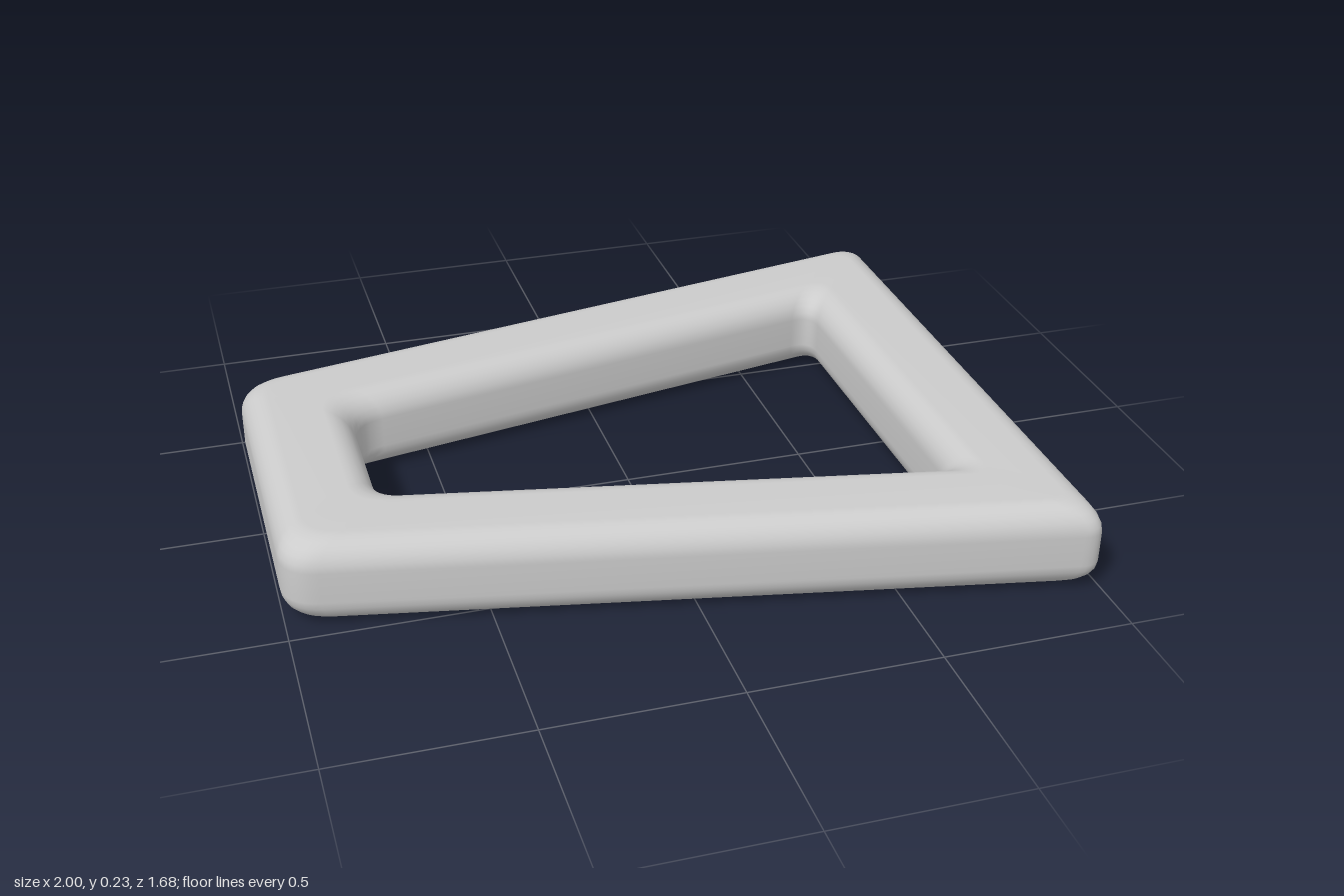
import * as THREE from 'three';

const SLOPE = 0.197;   // taper of the two slanted bars
const HALF = 0.14;     // half the bar width
const HEIGHT = 0.235;
const BEVEL = 0.075;

// Rounded-rectangle bar section as [offset from the centre line, y], counter-clockwise
function barSection(steps = 6) {
  const points = [];
  const o = HALF - BEVEL, top = HEIGHT - BEVEL;
  [[o, top], [-o, top], [-o, BEVEL], [o, BEVEL]].forEach(([cx, cy], k) => {
    for (let s = 0; s <= steps; s++) {
      const a = (k + s / steps) * Math.PI / 2;
      points.push([cx + BEVEL * Math.cos(a), cy + BEVEL * Math.sin(a)]);
    }
  });
  return points;
}

// Trapezoid loop at a given offset from the centre line, corners rounded
function trapezoidLoop(offset, steps = 8) {
  const a = 0.86 + offset, m = 0.51 + offset * 1.02;
  const corners = [[1, 1], [-1, 1], [-1, -1], [1, -1]].map(
    ([sx, sz]) => new THREE.Vector2(sx * a, sz * (m + SLOPE * sx * a)));
  const points = [];
  corners.forEach((c, k) => {
    const reach = c.x > 0 ? 0.065 : 0.09;
    const toward = (p) => p.clone().sub(c).setLength(reach).add(c);
    const curve = new THREE.QuadraticBezierCurve(
      toward(corners[(k + 3) % 4]), c, toward(corners[(k + 1) % 4]));
    points.push(...curve.getPoints(steps));
  });
  return points;
}

// Sweep the bar section round the trapezoid as one closed smooth ring
function frameGeometry() {
  const loops = barSection().map(([offset, y]) =>
    trapezoidLoop(offset).map((p) => [p.x, y, p.y]));
  const rows = loops.length, cols = loops[0].length;
  const index = [];
  for (let j = 0; j < rows; j++) {
    for (let i = 0; i < cols; i++) {
      const j2 = (j + 1) % rows, i2 = (i + 1) % cols;
      const a = j * cols + i, b = j2 * cols + i, c = j2 * cols + i2, d = j * cols + i2;
      index.push(a, b, d, b, c, d);
    }
  }
  const geometry = new THREE.BufferGeometry();
  geometry.setAttribute('position', new THREE.Float32BufferAttribute(loops.flat(2), 3));
  geometry.setIndex(index);
  geometry.computeVertexNormals();
  return geometry;
}

export function createModel() {
  const group = new THREE.Group();
  group.name = 'trapezoidRing';
  const frame = new THREE.Mesh(
    frameGeometry(), new THREE.MeshStandardMaterial({ color: 0xcccccc }));
  frame.name = 'frame';
  group.add(frame);
  return group;
}
